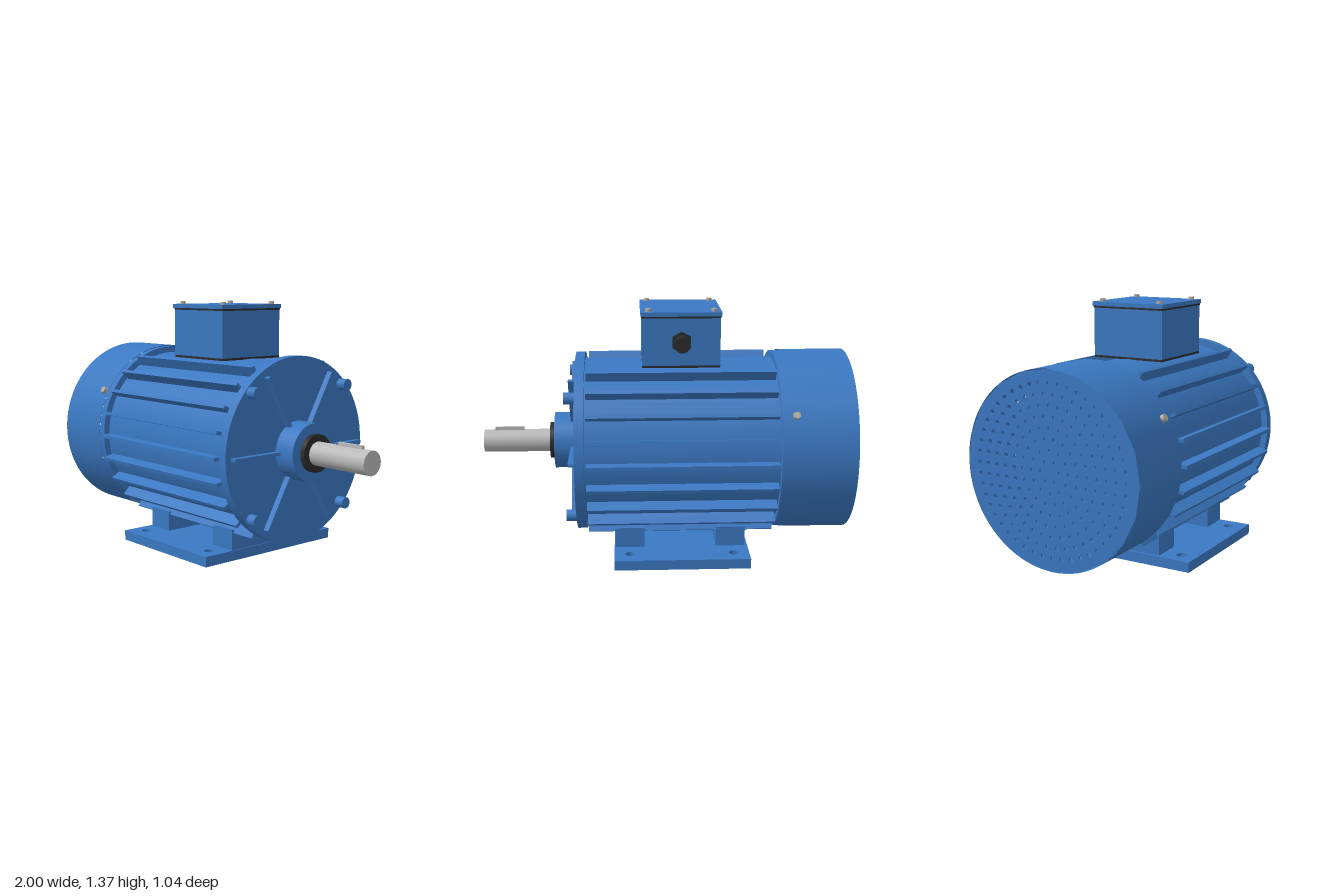
import * as THREE from 'three';

export function createModel() {
  const model = new THREE.Group();
  model.name = 'electricMotor';
  const mat = (name, color) => {
    const m = new THREE.MeshStandardMaterial({ color });
    m.name = name;
    return m;
  };
  const blue = mat('bluePaint', 0x3a78c2);
  blue.side = THREE.DoubleSide; // the fan cover is an open shell
  const black = mat('blackRubber', 0x2b2b2b);
  const steel = mat('shaftSteel', 0xb9b9b9);
  const zinc = mat('screwZinc', 0xb3aca2);

  const AXIS = 0.595; // height of the shaft axis
  const add = (name, geometry, material, parent = model) => {
    const m = new THREE.Mesh(geometry, material);
    m.name = name;
    parent.add(m);
    return m;
  };
  // box given by its extents
  const box = (name, material, x0, x1, y0, y1, z0, z1, parent = model) => {
    const g = new THREE.BoxGeometry(x1 - x0, y1 - y0, z1 - z0);
    g.translate((x0 + x1) / 2, (y0 + y1) / 2, (z0 + z1) / 2);
    return add(name, g, material, parent);
  };
  // everything in this group turns about the shaft axis
  const motor = new THREE.Group();
  motor.name = 'motor';
  motor.position.y = AXIS;
  model.add(motor);
  // cylinder lying along x
  const disc = (name, material, r, x0, x1, y = 0, z = 0, sides = 96, open = false) => {
    const g = new THREE.CylinderGeometry(r, r, x1 - x0, sides, 1, open);
    g.rotateZ(-Math.PI / 2);
    g.translate((x0 + x1) / 2, y, z);
    return add(name, g, material, motor);
  };

  // stator body with cooling fins on both sides
  disc('body', blue, 0.46, -0.605, 0.435);
  for (const side of [0, Math.PI]) {
    for (let i = -4; i <= 4; i++) {
      const fin = box('coolingFin', blue, -0.59, 0.42, -0.009, 0.009, 0.44, 0.52, motor);
      fin.rotation.x = -(side + i * Math.PI / 12);
    }
  }

  // drive end: bell, ribs, bolts, hub, seal, shaft and key
  disc('frontBell', blue, 0.495, 0.43, 0.48);
  for (let i = 0; i < 6; i++) {
    const rib = box('bellRib', blue, 0.475, 0.515, -0.008, 0.008, 0.14, 0.46, motor);
    rib.rotation.x = i * Math.PI / 3;
  }
  for (const sy of [-1, 1]) for (const sz of [-1, 1]) {
    disc('bellBolt', blue, 0.031, 0.475, 0.535, sy * 0.326, sz * 0.326, 24);
  }
  disc('hub', blue, 0.155, 0.475, 0.605);
  disc('shaftSeal', black, 0.1, 0.6, 0.632, 0, 0, 64);
  disc('shaft', steel, 0.063, 0.62, 1, 0, 0, 48);
  box('shaftKey', steel, 0.78, 0.94, 0.04, 0.08, -0.009, 0.009, motor);

  // rear end: bell, fan cover shell and perforated grille
  disc('rearBell', blue, 0.495, -0.645, -0.6);
  disc('fanCover', blue, 0.5, -1, -0.64, 0, 0, 96, true);
  const grille = new THREE.Shape();
  grille.absarc(0, 0, 0.5, 0, Math.PI * 2, false);
  for (let ring = 1; ring <= 8; ring++) {
    for (let i = 0; i < ring * 6; i++) {
      const a = i * Math.PI / (ring * 3);
      const hole = new THREE.Path();
      hole.absarc(Math.cos(a) * ring * 0.054, Math.sin(a) * ring * 0.054, 0.011, 0, Math.PI * 2, true);
      grille.holes.push(hole);
    }
  }
  const grilleGeo = new THREE.ExtrudeGeometry(grille, { depth: 0.012, bevelEnabled: false, curveSegments: 10 });
  grilleGeo.rotateY(-Math.PI / 2);
  grilleGeo.translate(-0.988, 0, 0);
  add('fanGrille', grilleGeo, blue, motor);
  for (const deg of [30, 150, 270]) {
    const g = new THREE.CylinderGeometry(0.018, 0.022, 0.03, 16);
    g.rotateX(Math.PI / 2);
    g.translate(-0.675, 0, 0.503);
    add('coverScrew', g, zinc, motor).rotation.x = -deg * Math.PI / 180;
  }

  // base plate with bolt holes, and two cross feet
  const plate = new THREE.Shape([[-0.455, -0.46], [0.28, -0.46], [0.28, 0.46], [-0.455, 0.46]]
    .map(p => new THREE.Vector2(...p)));
  for (const x of [-0.37, 0.195]) for (const z of [-0.37, 0.37]) {
    const hole = new THREE.Path();
    hole.absarc(x, z, 0.026, 0, Math.PI * 2, true);
    plate.holes.push(hole);
  }
  const plateGeo = new THREE.ExtrudeGeometry(plate, { depth: 0.055, bevelEnabled: false, curveSegments: 24 });
  plateGeo.rotateX(-Math.PI / 2);
  add('basePlate', plateGeo, blue);
  for (const x of [-0.44, 0.115]) box('foot', blue, x, x + 0.16, 0.05, 0.167, -0.275, 0.275);

  // terminal box with gaskets, lid and lid screws
  box('boxGasket', black, -0.295, 0.12, 1.052, 1.064, -0.207, 0.207);
  box('terminalBox', blue, -0.295, 0.12, 1.064, 1.318, -0.208, 0.208);
  box('lidGasket', black, -0.297, 0.124, 1.318, 1.328, -0.21, 0.21);
  box('boxLid', blue, -0.302, 0.128, 1.328, 1.35, -0.215, 0.215);
  for (const x of [-0.262, 0.088]) for (const z of [-0.175, 0.175]) {
    const g = new THREE.CylinderGeometry(0.015, 0.015, 0.02, 16);
    g.translate(x, 1.355, z);
    add('lidScrew', g, zinc);
  }

  // cable gland on the back of the terminal box
  const gland = (name, r, z0, z1, sides) => {
    const g = new THREE.CylinderGeometry(r, r, z1 - z0, sides);
    g.rotateX(Math.PI / 2);
    g.translate(-0.088, 1.193, (z0 + z1) / 2);
    add(name, g, black);
  };
  gland('glandNut', 0.056, -0.243, -0.2, 6);
  gland('glandCap', 0.041, -0.308, -0.24, 32);

  return model;
}
